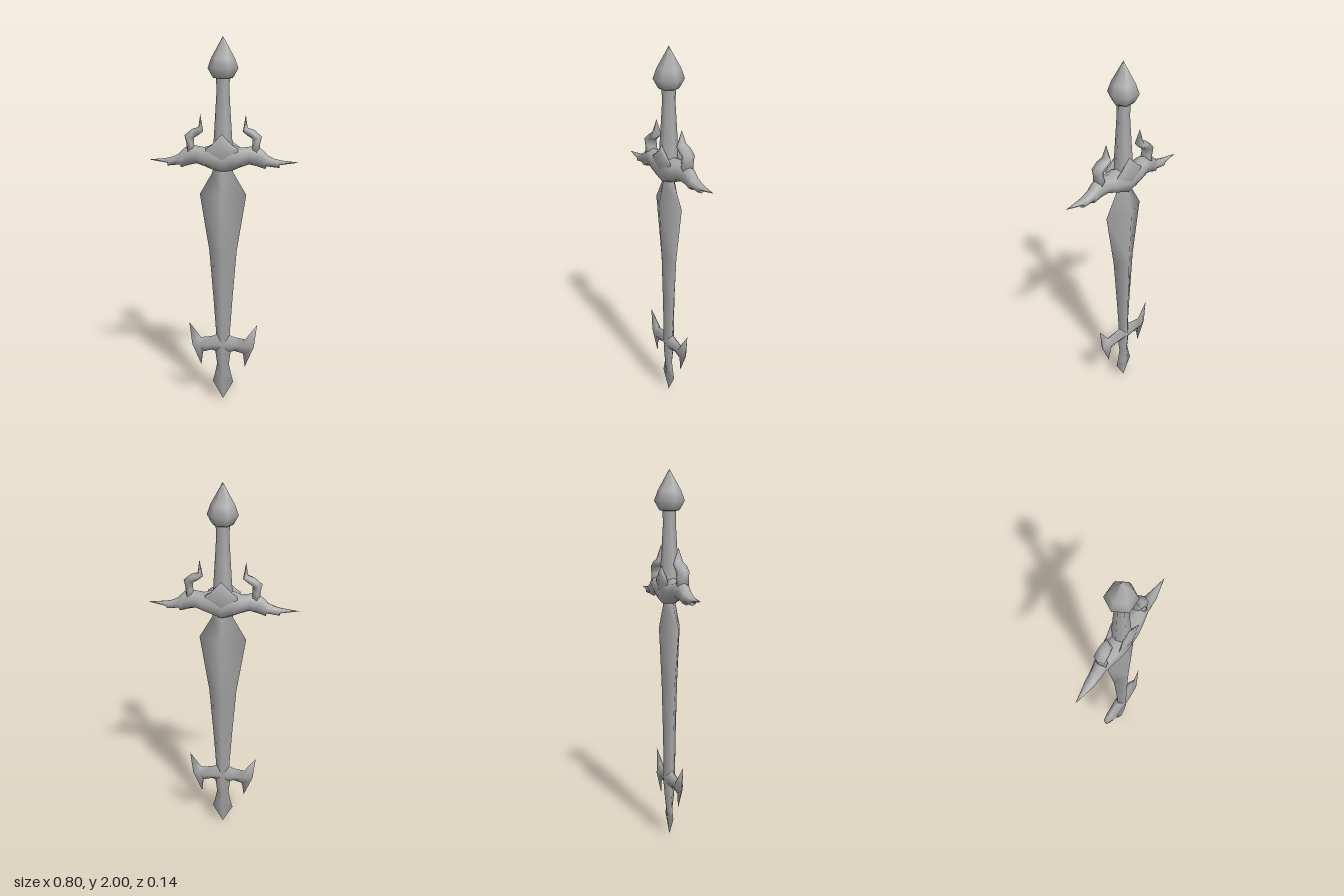
import * as THREE from 'three';

// Loft through sections { a, b, h, m }: a and b are opposite outline points in
// the xy plane, h is the half depth in z, m (optional) is the ridge point.
function loft(sections, sides) {
  const pos = [], idx = [], n = sections.length;
  const ridge = ({ a, b, m }) => m || [(a[0] + b[0]) / 2, (a[1] + b[1]) / 2];
  for (const s of sections) {
    const m = ridge(s);
    for (let i = 0; i < sides; i++) {
      const t = (i / sides) * Math.PI * 2, c = Math.cos(t);
      const end = c > 0 ? s.a : s.b, k = Math.abs(c);
      pos.push(m[0] + (end[0] - m[0]) * k, m[1] + (end[1] - m[1]) * k, s.h * Math.sin(t));
    }
  }
  for (let j = 0; j < n - 1; j++) {
    for (let i = 0; i < sides; i++) {
      const p = j * sides + i, q = j * sides + (i + 1) % sides;
      idx.push(p, q, p + sides, q, q + sides, p + sides);
    }
  }
  // end caps
  [0, n - 1].forEach((j) => {
    const c = pos.length / 3;
    pos.push(...ridge(sections[j]), 0);
    for (let i = 0; i < sides; i++) {
      const p = j * sides + i, q = j * sides + (i + 1) % sides;
      idx.push(...(j ? [c, p, q] : [c, q, p]));
    }
  });
  // make the faces point outwards, whichever way the sections run
  const v = (i) => new THREE.Vector3().fromArray(pos, i * 3);
  let volume = 0;
  for (let i = 0; i < idx.length; i += 3) volume += v(idx[i]).dot(v(idx[i + 1]).cross(v(idx[i + 2])));
  if (volume < 0) idx.reverse();
  const g = new THREE.BufferGeometry();
  g.setAttribute('position', new THREE.Float32BufferAttribute(pos, 3));
  g.setIndex(idx);
  g.computeVertexNormals();
  return g;
}

const flip = (p) => p && [-p[0], p[1]];
const mirror = (list) => list.map((s) => ({ a: flip(s.a), b: flip(s.b), m: flip(s.m), h: s.h }));
// the first section lies on the centre line, so it is used once
const bothSides = (list) => [...mirror(list.slice(1)).reverse(), ...list];

export function createModel() {
  const model = new THREE.Group();
  const steel = new THREE.MeshStandardMaterial({ color: 0xaaaaaa });
  steel.name = 'grey steel';
  const add = (name, geometry) => {
    const mesh = new THREE.Mesh(geometry, steel);
    mesh.name = name;
    model.add(mesh);
    return mesh;
  };
  const hexLathe = (points) => new THREE.LatheGeometry(
    points.map(([r, y]) => new THREE.Vector2(r, y)), 6, Math.PI / 2);

  // pommel and grip
  add('pommel', hexLathe([[0, 1.785], [0.05, 1.79], [0.058, 1.8], [0.08, 1.84], [0.062, 1.89], [0, 2]]));
  add('grip', hexLathe([[0.056, 1.38], [0.05, 1.46], [0.04, 1.62], [0.034, 1.72], [0.036, 1.8]]));

  // blade with a diamond section: [y, half width, half depth]
  add('blade', loft([
    [1.42, 0.05, 0.05], [1.3, 0.055, 0.036], [1.18, 0.125, 0.06], [0.87, 0.075, 0.045],
    [0.6, 0.053, 0.038], [0.39, 0.038, 0.034], [0.3, 0.045, 0.034], [0.21, 0.033, 0.026],
    [0.14, 0.048, 0.017], [0.105, 0.058, 0.013], [0, 0, 0],
  ].map(([y, w, h]) => ({ a: [w, y], b: [-w, y], h })), 4));

  // winged guard with ragged feathers along its lower edge
  add('wingedGuard', loft(bothSides([
    { a: [0, 1.44], b: [0, 1.29], h: 0.062 },
    { a: [0.055, 1.445], b: [0.05, 1.31], h: 0.062 },
    { a: [0.10, 1.432], b: [0.09, 1.327], h: 0.057 },
    { a: [0.15, 1.44], b: [0.14, 1.345], h: 0.048 },
    { a: [0.20, 1.43], b: [0.185, 1.335], h: 0.036 },
    { a: [0.225, 1.408], b: [0.225, 1.322], h: 0.033 },
    { a: [0.235, 1.395], b: [0.23, 1.337], h: 0.031 },
    { a: [0.27, 1.378], b: [0.30, 1.329], h: 0.026 },
    { a: [0.31, 1.369], b: [0.295, 1.343], h: 0.021 },
    { a: [0.4, 1.36], b: [0.4, 1.36], h: 0 },
  ]), 8));

  // pointed shields on the front and back of the guard
  const shield = loft(bothSides([
    { a: [0, 1.505], b: [0, 1.34], h: 0.022 },
    { a: [0.055, 1.45], b: [0.04, 1.37], h: 0.012 },
    { a: [0.085, 1.43], b: [0.085, 1.39], h: 0 },
  ]), 8);
  for (const z of [0.043, -0.043]) {
    add(z > 0 ? 'frontShield' : 'backShield', shield).position.z = z;
  }

  // bent horns on top of the guard
  const horn = [
    { a: [0.195, 1.41], b: [0.145, 1.41], h: 0.036 },
    { a: [0.195, 1.45], b: [0.155, 1.45], h: 0.034 },
    { a: [0.205, 1.492], b: [0.155, 1.48], h: 0.035 },
    { a: [0.165, 1.526], b: [0.13, 1.495], h: 0.034 },
    { a: [0.13, 1.537], b: [0.105, 1.515], h: 0.03 },
    { a: [0.12, 1.605], b: [0.12, 1.605], h: 0 },
  ];
  add('leftHorn', loft(horn, 6));
  add('rightHorn', loft(mirror(horn), 6));

  // axe-shaped flukes near the point
  add('axeFlukes', loft(bothSides([
    { a: [0, 0.4], b: [0, 0.27], h: 0.035 },
    { a: [0.063, 0.373], b: [0.063, 0.292], h: 0.032 },
    { a: [0.125, 0.363], b: [0.113, 0.278], m: [0.125, 0.33], h: 0.028 },
    { a: [0.19, 0.45], b: [0.123, 0.2], m: [0.173, 0.32], h: 0.004 },
  ]), 4));

  return model;
}
